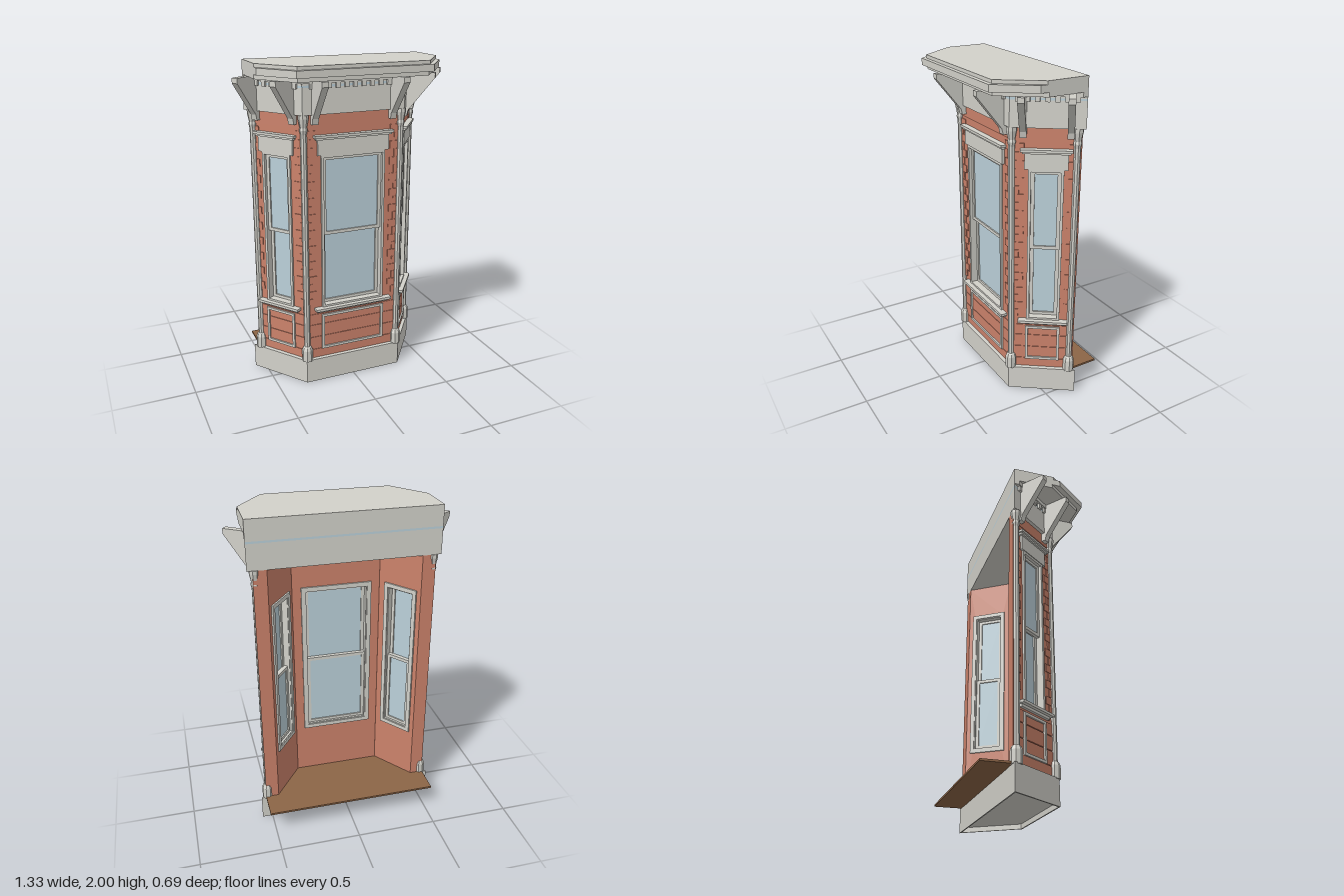
import * as THREE from 'three';

const mat = (name, color, side = THREE.FrontSide) => {
  const m = new THREE.MeshStandardMaterial({ color, side });
  m.name = name;
  return m;
};

export function createModel() {
  const stone = mat('pale stone', 0xd2d1ca);
  const brick = mat('terracotta', 0xcb826b);
  const glass = mat('window glass', 0xbbd0d9);
  const wood = mat('floor wood', 0x8c6546);

  const model = new THREE.Group();
  model.name = 'bayWindow';

  const add = (parent, name, geo, material, x = 0, y = 0, z = 0) => {
    const m = new THREE.Mesh(geo, material);
    m.name = name;
    m.position.set(x, y, z);
    parent.add(m);
    return m;
  };
  // box given by its ranges
  const box = (parent, name, material, x0, x1, y0, y1, z0, z1) =>
    add(parent, name, new THREE.BoxGeometry(x1 - x0, y1 - y0, z1 - z0), material,
      (x0 + x1) / 2, (y0 + y1) / 2, (z0 + z1) / 2);

  // ---- plan outlines: right half as [x, z], mirrored to the left ----
  const BACK = -0.17, EDGE = 0.565;
  const plan = (o) => {
    const cx = 0.32 + 0.508 * o, cz = 0.165 + o, bx = EDGE + o / 0.807;
    if (bx <= EDGE + 0.001) return [[cx, cz], [bx, BACK]];
    return [[cx, cz], [EDGE, cz - (EDGE - cx) * 1.367], [EDGE, BACK]];
  };
  const mirrored = (half) => [
    ...half.map(([x, z]) => new THREE.Vector2(x, -z)),
    ...half.slice().reverse().map(([x, z]) => new THREE.Vector2(-x, -z)),
  ];
  const prism = (name, material, half, y0, y1, hole) => {
    const s = new THREE.Shape(mirrored(half));
    if (hole) s.holes.push(new THREE.Path(mirrored(hole)));
    const g = new THREE.ExtrudeGeometry(s, { depth: y1 - y0, bevelEnabled: false });
    g.rotateX(-Math.PI / 2);
    return add(model, name, g, material, 0, y0, 0);
  };

  // ---- plinth with a recessed underside, and the floor ----
  prism('plinthRim', stone, plan(0), 0, 0.03, [[0.315, 0.157], [0.546, -0.162]]);
  prism('plinth', stone, plan(0), 0.03, 0.155);
  prism('floor', wood, [[0.285, 0.085], [0.46, BACK - 0.001], [0.535, BACK - 0.001], [0.535, -0.345]], 0.15, 0.162);

  // ---- frieze and stepped cornice ----
  prism('frieze', stone, plan(0), 1.71, 1.864);
  prism('friezeBand', glass, plan(0), 1.864, 1.876);
  prism('friezeTop', stone, plan(0), 1.876, 1.915);
  prism('bedMoulding', stone, plan(0.018), 1.888, 1.915);
  prism('corniceLower', stone, plan(0.145), 1.915, 1.94);
  prism('corniceMiddle', stone, plan(0.175), 1.94, 1.98);
  prism('corniceTop', stone, plan(0.15), 1.98, 2.0);

  // ---- helpers in a wall's own frame: x along, z outward ----
  const rect = (Type, w, y0, y1) => {
    const p = new Type();
    p.moveTo(-w, y0);
    p.lineTo(w, y0);
    p.lineTo(w, y1);
    p.lineTo(-w, y1);
    p.closePath();
    return p;
  };
  const ring = (parent, name, w, y0, y1, t, z0, z1) => {
    const s = rect(THREE.Shape, w, y0, y1);
    s.holes.push(rect(THREE.Path, w - t, y0 + t, y1 - t));
    add(parent, name, new THREE.ExtrudeGeometry(s, { depth: z1 - z0, bevelEnabled: false }), stone, 0, 0, z0);
  };

  const THICK = 0.065, SILL = 0.5, HEAD = 1.47;

  // half: half length, win: half opening, inA / inB: how far the inner ends move along x
  const buildWall = (name, half, win, inA, inB) => {
    const g = new THREE.Group();
    g.name = name;
    model.add(g);

    // wall with opening and mitred ends
    const s = rect(THREE.Shape, half, 0.155, 1.71);
    s.holes.push(rect(THREE.Path, win, SILL, HEAD));
    const geo = new THREE.ExtrudeGeometry(s, { depth: THICK, bevelEnabled: false });
    const p = geo.attributes.position;
    for (let i = 0; i < p.count; i++) {
      if (p.getZ(i) > 0.001) continue;
      if (p.getX(i) < -half + 0.001) p.setX(i, -half + inA);
      else if (p.getX(i) > half - 0.001) p.setX(i, half + inB);
    }
    geo.computeVertexNormals();
    add(g, 'wall', geo, brick, 0, 0, -THICK);

    // window frame, sashes and glass
    ring(g, 'windowFrame', win, SILL, HEAD, 0.016, -0.068, 0.012);
    ring(g, 'innerCasing', win + 0.015, SILL - 0.015, HEAD + 0.015, 0.026, -0.075, -0.065);
    const sw = win - 0.016;
    ring(g, 'upperSash', sw, 0.972, HEAD - 0.014, 0.02, -0.03, -0.008);
    ring(g, 'lowerSash', sw, SILL + 0.014, 0.996, 0.02, -0.054, -0.031);
    box(g, 'upperGlass', glass, -sw + 0.015, sw - 0.015, 0.985, HEAD - 0.03, -0.022, -0.016);
    box(g, 'lowerGlass', glass, -sw + 0.015, sw - 0.015, SILL + 0.03, 0.985, -0.046, -0.04);

    // sill, lintel and hood
    const e = win + 0.05;
    box(g, 'sill', stone, -e, e, 0.488, 0.504, 0, 0.04);
    box(g, 'sillApron', stone, -e + 0.015, e - 0.015, 0.472, 0.488, 0, 0.018);
    box(g, 'lintel', stone, -win - 0.022, win + 0.022, HEAD, 1.565, 0, 0.016);
    box(g, 'hoodLower', stone, -win - 0.035, win + 0.035, 1.563, 1.577, 0, 0.026);
    box(g, 'hood', stone, -win - 0.045, win + 0.045, 1.575, 1.59, 0, 0.036);

    // apron panel
    ring(g, 'apronPanel', win + 0.005, 0.215, 0.453, 0.016, 0, 0.014);

    // alternating raised blocks beside the window, and courses above and below
    for (let i = 0; i < 22; i++) {
      const y = 0.52 + i * 0.05;
      const inner = i % 2 ? half - 0.068 : half - 0.04;
      for (const [a, b] of [[inner, half - 0.01], [-half + 0.01, -inner]])
        box(g, 'wallBlock', brick, a, b, y, y + 0.047, 0, 0.005);
    }
    for (const [y0, y1] of [[0.16, 0.216], [0.22, 0.302], [0.306, 0.387], [0.391, 0.46], [1.635, 1.71]])
      box(g, 'wallCourse', brick, -half + 0.01, half - 0.01, y0, y1, 0, 0.004);

    // dentils
    const n = Math.floor((half * 2) / 0.053);
    for (let i = 0; i < n; i++) {
      const x = (i - (n - 1) / 2) * 0.053;
      box(g, 'dentil', stone, x - 0.013, x + 0.013, 1.857, 1.888, 0.025, 0.039);
    }

    // brackets
    const prof = [[0, 1.655], [0.03, 1.655], [0.038, 1.69], [0.192, 1.885], [0.192, 1.915], [0, 1.915]];
    const bs = new THREE.Shape(prof.map(([u, y]) => new THREE.Vector2(u, y)));
    for (const sx of [-1, 1]) {
      const bg = new THREE.ExtrudeGeometry(bs, { depth: 0.038, bevelEnabled: false });
      bg.translate(0, 0, -0.019);
      bg.rotateY(-Math.PI / 2);
      add(g, 'bracket', bg, stone, sx * (half - 0.062), 0, 0);
    }
    return g;
  };

  // ---- three walls of the bay ----
  buildWall('frontWall', 0.307, 0.205, 0.033, -0.033).position.set(0, 0, 0.14);
  const turn = Math.atan2(0.807, 0.59);
  const left = buildWall('leftWall', 0.192, 0.1, 0.033, -0.048);
  left.position.set(0.4205, 0, -0.015);
  left.rotation.y = turn;
  const right = buildWall('rightWall', 0.192, 0.1, 0.048, -0.033);
  right.position.set(-0.4205, 0, -0.015);
  right.rotation.y = -turn;

  // ---- corner columns with footing and capital ----
  const colProfile = [[0, 0.15], [0.034, 0.15], [0.034, 0.225], [0.026, 0.245], [0.019, 0.25],
    [0.019, 1.6], [0.025, 1.625], [0.021, 1.64], [0.031, 1.69], [0.031, 1.711], [0, 1.711]]
    .map(([r, y]) => new THREE.Vector2(r, y));
  const colGeo = new THREE.LatheGeometry(colProfile, 8, Math.PI / 8).toNonIndexed();
  colGeo.computeVertexNormals();
  for (const sx of [-1, 1])
    for (const [x, z] of [[0.308, 0.142], [0.521, -0.148]])
      add(model, 'cornerColumn', colGeo, stone, sx * x, 0, z);

  return model;
}
